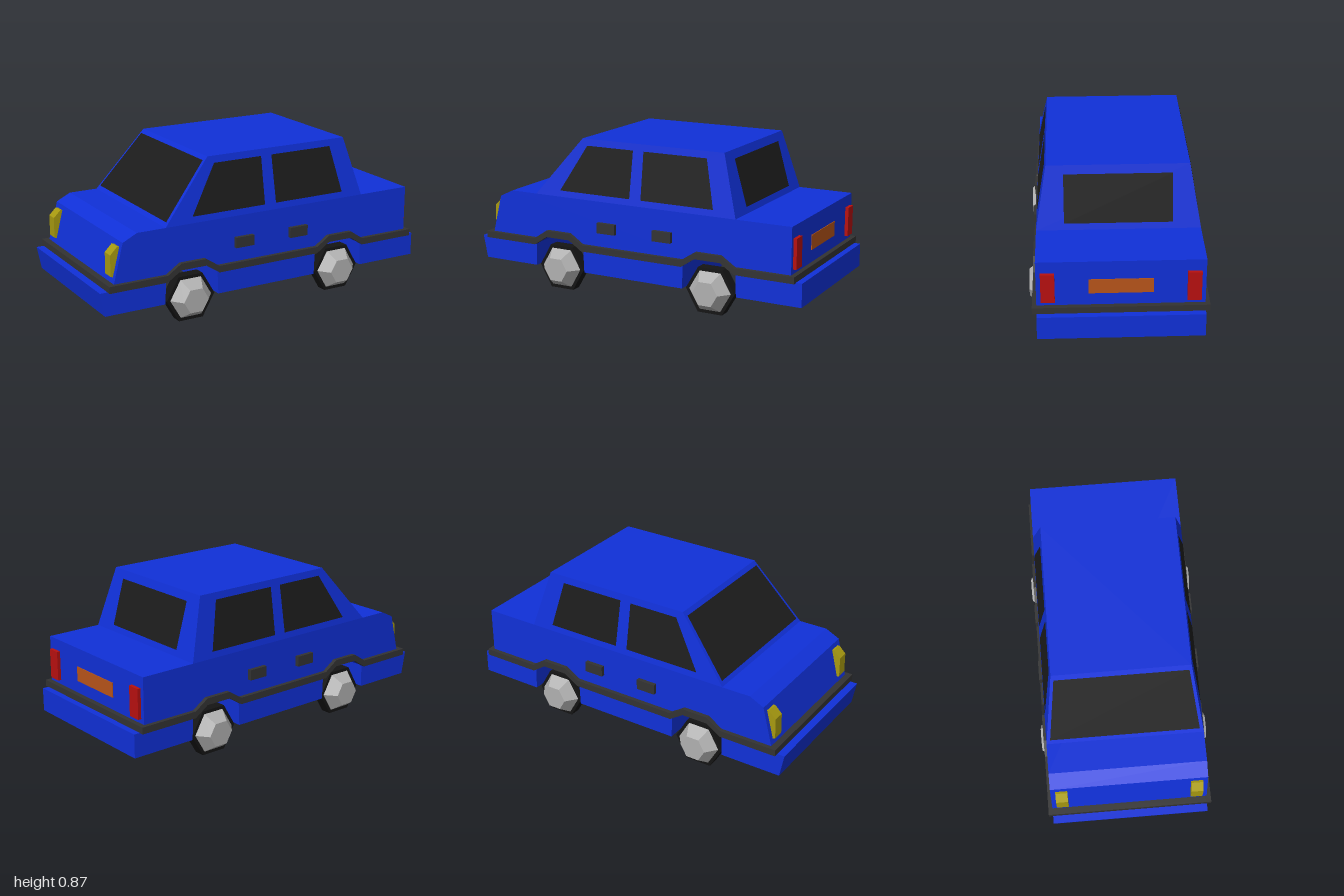
import * as THREE from 'three';

const mat = (color, extra = {}) => new THREE.MeshStandardMaterial({ color, flatShading: true, ...extra });
const blue = mat(0x1030d8);
const glass = mat(0x1c1c1c, { side: THREE.DoubleSide });
const rubber = mat(0x141414);
const trimGrey = mat(0x333333);
const hubGrey = mat(0xb0b0b0);
const yellow = mat(0xa89a10);
const red = mat(0xb81010);
const orange = mat(0xb8541a);

const WHEEL_X = [-0.468, 0.47];
const SILL = 0.54, ROOF = 0.872;

function add(parent, name, geometry, material, x = 0, y = 0, z = 0) {
  const mesh = new THREE.Mesh(geometry, material);
  mesh.name = name;
  mesh.position.set(x, y, z);
  parent.add(mesh);
  return mesh;
}

// Side outline in x/y, extruded symmetrically about a given z
function slab(points, depth) {
  const shape = new THREE.Shape(points.map(([x, y]) => new THREE.Vector2(x, y)));
  const geo = new THREE.ExtrudeGeometry(shape, { depth, bevelEnabled: false });
  return geo.translate(0, 0, -depth / 2);
}

function quads(corners, faces) {
  const geo = new THREE.BufferGeometry();
  geo.setAttribute('position', new THREE.Float32BufferAttribute(corners.flat(), 3));
  geo.setIndex(faces.flatMap(([a, b, c, d]) => [a, b, c, a, c, d]));
  const flat = geo.toNonIndexed();
  flat.computeVertexNormals();
  return flat;
}

// Tapered cabin: heights to half width and slope positions
const lift = (y) => (y - SILL) / (ROOF - SILL);
const halfWidth = (y) => 0.432 - 0.057 * lift(y);
const frontX = (y) => -0.62 + 0.28 * lift(y);
const rearX = (y) => 0.622 - 0.095 * lift(y);

function cabinGeometry() {
  const ring = (y) => {
    const w = halfWidth(y);
    return [[frontX(y), y, w], [rearX(y), y, w], [rearX(y), y, -w], [frontX(y), y, -w]];
  };
  return quads([...ring(SILL), ...ring(ROOF)],
    [[0, 1, 5, 4], [1, 2, 6, 5], [2, 3, 7, 6], [3, 0, 4, 7], [4, 5, 6, 7], [3, 2, 1, 0]]);
}

function addWindows(body) {
  const sideWindows = {
    frontSideWindow: [[-0.46, 0.575], [-0.015, 0.575], [-0.015, 0.835], [-0.305, 0.835]],
    rearSideWindow: [[0.055, 0.575], [0.49, 0.575], [0.43, 0.835], [0.05, 0.835]],
  };
  for (const [name, pts] of Object.entries(sideWindows)) {
    for (const s of [1, -1]) {
      const corners = pts.map(([x, y]) => [x, y, s * (halfWidth(y) + 0.003)]);
      add(body, name, quads(corners, [s > 0 ? [0, 1, 2, 3] : [3, 2, 1, 0]]), glass);
    }
  }
  const [b, t] = [0.562, 0.852];
  add(body, 'windscreen', quads([
    [frontX(b) - 0.004, b, -0.41], [frontX(b) - 0.004, b, 0.41],
    [frontX(t) - 0.004, t, 0.362], [frontX(t) - 0.004, t, -0.362],
  ], [[0, 1, 2, 3]]), glass);
  const [rb, rt] = [0.575, 0.827];
  add(body, 'rearWindow', quads([
    [rearX(rb) + 0.004, rb, 0.285], [rearX(rb) + 0.004, rb, -0.285],
    [rearX(rt) + 0.004, rt, -0.285], [rearX(rt) + 0.004, rt, 0.285],
  ], [[0, 1, 2, 3]]), glass);
}

function addTrim(body) {
  // Side strips step up over the wheel arches
  const line = [[-0.957, 0.285]];
  for (const x of WHEEL_X) {
    line.push([x - 0.155, 0.285], [x - 0.075, 0.338], [x + 0.075, 0.338], [x + 0.155, 0.285]);
  }
  line.push([0.965, 0.285]);
  const lower = line.map(([x, y]) => [x, y - 0.037]).reverse();
  for (const s of [1, -1]) add(body, 'sideTrim', slab([...lower, ...line], 0.03), trimGrey, 0, 0, s * 0.44);
  add(body, 'noseTrim', new THREE.BoxGeometry(0.05, 0.037, 0.91), trimGrey, -0.932, 0.2665);
  add(body, 'tailTrim', new THREE.BoxGeometry(0.035, 0.037, 0.91), trimGrey, 0.9475, 0.2665);
}

function addWheel(car, x, s) {
  const wheel = new THREE.Group();
  wheel.name = 'wheel';
  wheel.position.set(x, 0.125, s * 0.35);
  wheel.rotation.x = s * Math.PI / 2;
  const hex = (top, bottom, h) => new THREE.CylinderGeometry(top, bottom, h, 6, 1, false, Math.PI / 6);
  add(wheel, 'tyre', hex(0.144, 0.144, 0.062), rubber, 0, 0.031);
  add(wheel, 'hubCap', hex(0.074, 0.124, 0.066), hubGrey, 0, 0.094);
  car.add(wheel);
}

export function createModel() {
  const car = new THREE.Group();
  car.name = 'car';
  const body = new THREE.Group();
  body.name = 'body';
  body.position.z = -0.004;
  car.add(body);

  // Lower body with wheel channels, bumper ledges, bonnet and boot
  const profile = [[-0.975, 0.12]];
  for (const x of WHEEL_X) {
    profile.push([x - 0.16, 0.12], [x - 0.155, 0.25], [x - 0.08, 0.3], [x + 0.08, 0.3], [x + 0.155, 0.25], [x + 0.16, 0.12]);
  }
  profile.push([1, 0.12], [1, 0.25], [0.938, 0.25], [0.938, SILL], [-0.785, SILL],
    [-0.866, 0.5], [-0.93, 0.25], [-1, 0.25]);
  add(body, 'lowerBody', slab(profile, 0.864), blue);
  add(body, 'cabin', cabinGeometry(), blue);
  addWindows(body);
  addTrim(body);

  // Door handles and lamps on both sides
  const headlight = [[-0.9, 0.31], [-0.87, 0.31], [-0.86, 0.47], [-0.885, 0.475], [-0.925, 0.435], [-0.927, 0.32]];
  for (const s of [1, -1]) {
    for (const x of [-0.153, 0.193]) {
      add(body, 'doorHandle', new THREE.BoxGeometry(0.112, 0.058, 0.03), trimGrey, x, 0.395, s * 0.439);
    }
    add(body, 'headlight', slab(headlight, 0.066), yellow, 0, 0, s * 0.372);
    add(body, 'tailLight', new THREE.BoxGeometry(0.03, 0.165, 0.072), red, 0.942, 0.393, s * 0.373);
  }
  add(body, 'rearPlate', new THREE.BoxGeometry(0.01, 0.082, 0.33), orange, 0.937, 0.395);

  for (const x of WHEEL_X) for (const s of [1, -1]) addWheel(car, x, s);
  return car;
}
